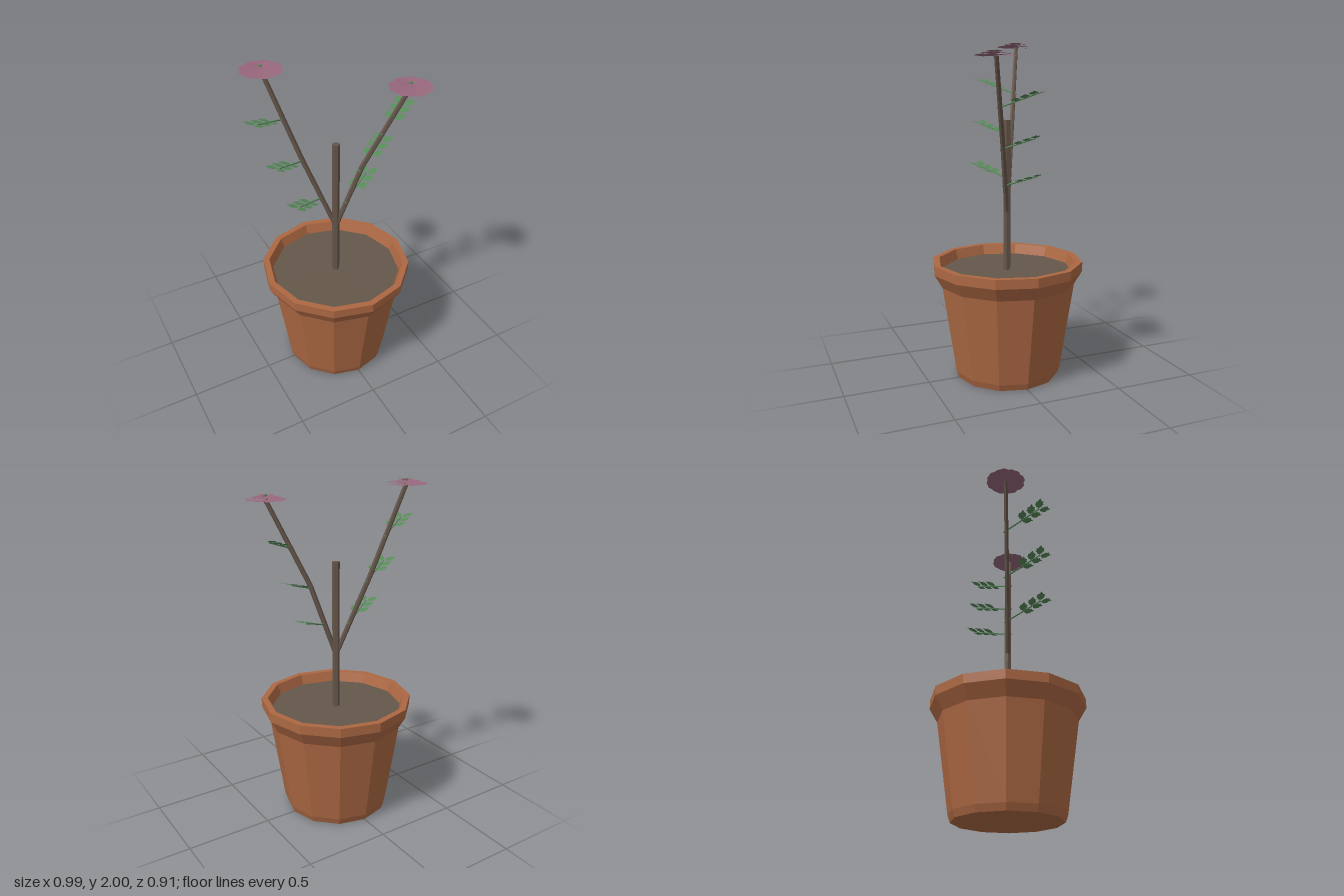
import * as THREE from 'three';

const mat = (name, color, extra = {}) => {
  const m = new THREE.MeshStandardMaterial({ color, flatShading: true, ...extra });
  m.name = name;
  return m;
};

export function createModel() {
  const clay = mat('terracotta', 0xac6843);
  const earth = mat('soil', 0x64574a);
  const bark = mat('bark', 0x64554a);
  const green = mat('leaf green', 0x568a58, { side: THREE.DoubleSide });
  const pink = mat('petal pink', 0x97677b, { side: THREE.DoubleSide });

  const model = new THREE.Group();
  model.name = 'pottedPlant';
  const V = (x, y, z = 0) => new THREE.Vector3(x, y, z);

  const add = (parent, name, geometry, material) => {
    const mesh = new THREE.Mesh(geometry, material);
    mesh.name = name;
    parent.add(mesh);
    return mesh;
  };

  // Straight rod between two points
  const rod = (parent, name, a, b, r0, r1, sides, material) => {
    const d = b.clone().sub(a);
    const mesh = add(parent, name, new THREE.CylinderGeometry(r1, r0, d.length(), sides), material);
    mesh.position.copy(a).add(b).multiplyScalar(0.5);
    mesh.quaternion.setFromUnitVectors(V(0, 1), d.normalize());
    return mesh;
  };

  // Flat outline, mirrored about the x axis and laid in the xz plane
  const plate = (half) => {
    const pts = half.map(([x, y]) => new THREE.Vector2(x, -y));
    for (const [x, y] of [...half].reverse()) if (y > 0) pts.push(new THREE.Vector2(x, y));
    return new THREE.ShapeGeometry(new THREE.Shape(pts)).rotateX(-Math.PI / 2);
  };

  // Twelve-sided pot with flared rim, and the soil inside
  const profile = [[0, 0], [0.312, 0], [0.326, 0.04], [0.406, 0.57], [0.453, 0.65],
    [0.453, 0.705], [0.416, 0.705], [0.39, 0.63]].map(([x, y]) => new THREE.Vector2(x, y));
  add(model, 'pot', new THREE.LatheGeometry(profile, 12), clay);
  add(model, 'soil', new THREE.CircleGeometry(0.394, 12).rotateX(-Math.PI / 2), earth).position.y = 0.645;

  // Cut central trunk
  rod(model, 'trunk', V(0, 0.63), V(0, 1.54), 0.022, 0.022, 6, bark);

  // Jagged leaf blade with its stalk
  const leafGeo = plate([[0, 0], [0.012, 0.003], [0.02, 0.017], [0.03, 0.018], [0.034, 0.027],
    [0.045, 0.021], [0.055, 0.024], [0.06, 0.012], [0.08, 0]]);

  // Frond: thin stalk with three pairs of leaves
  const makeFrond = () => {
    const frond = new THREE.Group();
    frond.name = 'frond';
    rod(frond, 'frondStalk', V(-0.022, 0), V(0.237, 0), 0.005, 0.004, 5, green);
    for (const x of [0.11, 0.172, 0.233]) {
      for (const s of [-1, 1]) {
        const leaf = add(frond, 'leaf', leafGeo, green);
        leaf.position.x = x;
        leaf.rotation.set(s * 0.12, s * 0.87, 0);
      }
    }
    return frond;
  };

  // Flower: three stacked rings of petals round a green heart
  const petalGeo = (r, w) => plate([[0, 0], [0.3 * r, 0.22 * w], [0.62 * r, 0.42 * w],
    [0.84 * r, 0.45 * w], [0.95 * r, 0.3 * w], [r, 0.14 * w], [0.975 * r, 0]]);
  const rings = [
    { n: 8, r: 0.117, w: 0.1, y: 0, lift: 0.02 },
    { n: 8, r: 0.076, w: 0.064, y: 0.011, lift: 0.05 },
    { n: 6, r: 0.046, w: 0.05, y: 0.019, lift: 0.12 },
  ];
  const makeFlower = () => {
    const flower = new THREE.Group();
    flower.name = 'flower';
    rings.forEach(({ n, r, w, y, lift }, k) => {
      const geo = petalGeo(r, w);
      for (let i = 0; i < n; i++) {
        const petal = add(flower, 'petal', geo, pink);
        petal.position.y = y;
        petal.rotation.set(0.07, (i + k * 0.5) / n * Math.PI * 2, lift, 'YZX');
      }
    });
    add(flower, 'flowerHeart', new THREE.CylinderGeometry(0.009, 0.009, 0.012, 6), green).position.y = 0.022;
    return flower;
  };

  // Two bent stems, each with three fronds and a flower on top
  const stems = [
    { path: [V(0, 0.98), V(-0.168, 1.45, -0.098), V(-0.335, 1.972, -0.198)],
      heights: [1.18, 1.43, 1.69], turn: Math.PI * 7 / 6, name: 'rightStem' },
    { path: [V(0, 0.98), V(0.126, 1.4, 0.076), V(0.335, 1.89, 0.196)],
      heights: [1.165, 1.385, 1.62], turn: Math.PI / 6, name: 'leftStem' },
  ];
  for (const { path, heights, turn, name } of stems) {
    const stem = new THREE.Group();
    stem.name = name;
    model.add(stem);
    const [a, b, c] = path;
    rod(stem, 'lowerStem', a, b, 0.015, 0.015, 6, bark);
    rod(stem, 'upperStem', b, c, 0.015, 0.013, 6, bark);
    for (const y of heights) {
      const [p, q] = y < b.y ? [a, b] : [b, c];
      const frond = makeFrond();
      frond.position.lerpVectors(p, q, (y - p.y) / (q.y - p.y));
      frond.rotation.set(0, turn, 0.3);
      stem.add(frond);
    }
    const flower = makeFlower();
    flower.position.copy(c);
    stem.add(flower);
  }
  return model;
}
